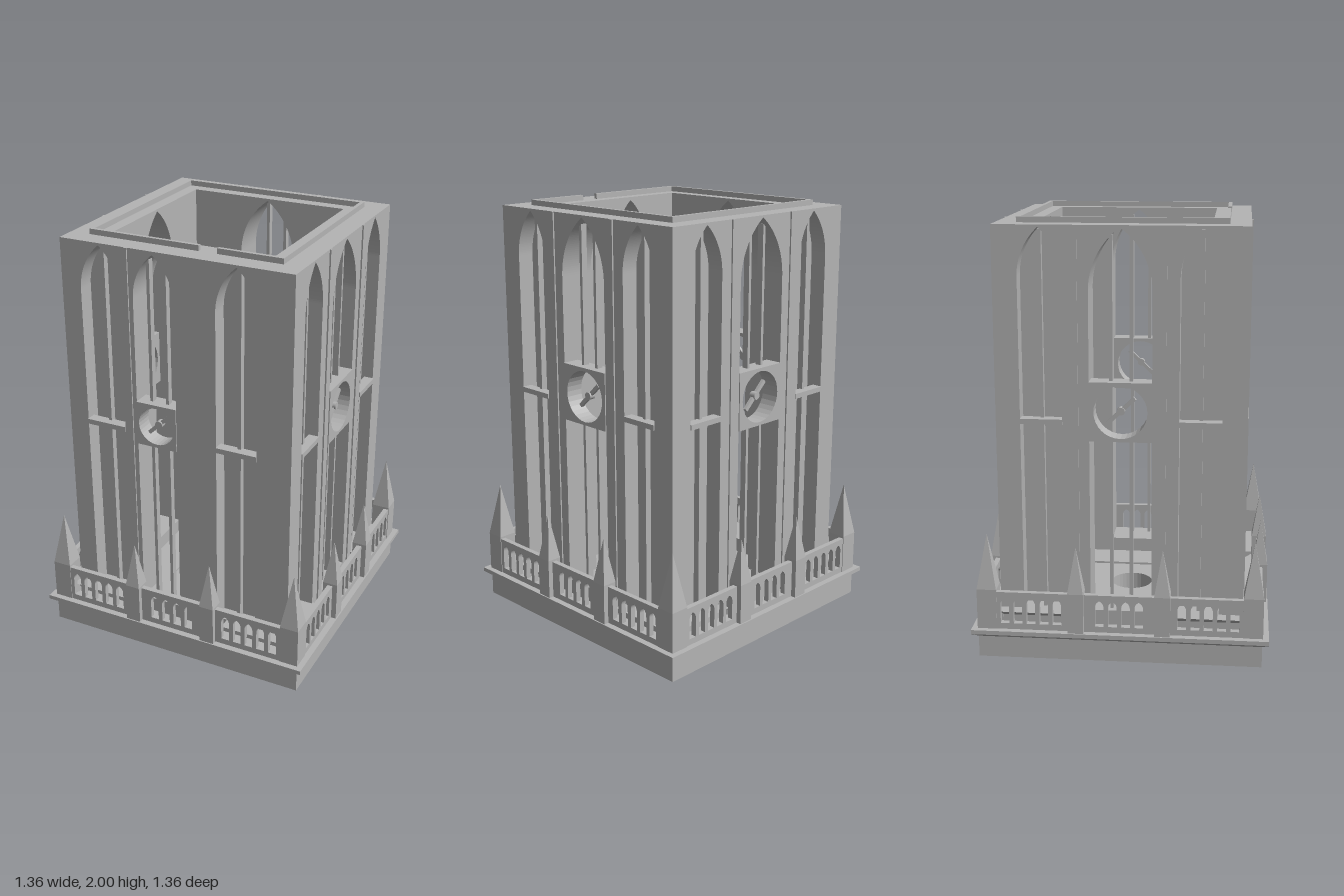
import * as THREE from 'three';

const stone = new THREE.MeshStandardMaterial({ color: 0xb4b4b4 });
stone.name = 'stone';

function add(parent, name, geo, x = 0, y = 0, z = 0) {
  const m = new THREE.Mesh(geo, stone);
  m.name = name;
  m.position.set(x, y, z);
  parent.add(m);
  return m;
}
const box = (w, h, d) => new THREE.BoxGeometry(w, h, d);
function flat(geo) {
  const g = geo.toNonIndexed();
  g.computeVertexNormals();
  return g;
}
function rect(T, x0, y0, x1, y1) {
  const s = new T();
  s.moveTo(x0, y0);
  s.lineTo(x1, y0);
  s.lineTo(x1, y1);
  s.lineTo(x0, y1);
  s.closePath();
  return s;
}
function circle(x, y, r) {
  const p = new THREE.Path();
  p.absarc(x, y, r, 0, Math.PI * 2, true);
  return p;
}
// Pointed two-centred arch opening
function arch({ x, w, y0, spring, apex }) {
  const h = apex - spring, R = (h * h + w * w) / (2 * w), a = Math.acos((R - w) / R);
  const p = new THREE.Path();
  p.moveTo(x - w, y0);
  p.lineTo(x + w, y0);
  p.lineTo(x + w, spring);
  p.absarc(x + w - R, spring, R, 0, a, false);
  p.absarc(x - w + R, spring, R, Math.PI - a, Math.PI, false);
  p.closePath();
  return p;
}
function archTop({ w, spring, apex }, dx) {
  const h = apex - spring, R = (h * h + w * w) / (2 * w);
  return spring + Math.sqrt(R * R - (R - w + Math.abs(dx)) ** 2);
}
function plate(shape, depth, holes = []) {
  shape.holes.push(...holes);
  return new THREE.ExtrudeGeometry(shape, { depth, bevelEnabled: false, curveSegments: 16 });
}
// Horizontal square slab, thickness upward
function slab(half, depth, holes) {
  return plate(rect(THREE.Shape, -half, -half, half, half), depth, holes).rotateX(-Math.PI / 2);
}

function buildBase(root) {
  const g = new THREE.Group();
  g.name = 'base';
  root.add(g);
  // Moulded square rim with a groove underneath
  const rim = [[0.53, 0.01], [0.55, 0.01], [0.55, 0], [0.65, 0], [0.65, 0.1], [0.68, 0.12], [0.68, 0.14], [0.53, 0.14]]
    .map(([r, y]) => new THREE.Vector2(r * Math.SQRT2, y));
  add(g, 'baseRim', flat(new THREE.LatheGeometry(rim, 4, Math.PI / 4)));
  // Bottom plate with a central hole and paired peg holes
  const pegs = [];
  for (const sx of [-1, 1]) for (const sy of [-1, 1]) for (const d of [-1, 1])
    pegs.push(circle(sx * 0.34 + d * 0.018, sy * 0.34 + d * 0.018, 0.016));
  add(g, 'bottomPlate', slab(0.53, 0.03, [circle(0, 0, 0.1), ...pegs]));
  add(g, 'baseCore', slab(0.53, 0.1, [circle(0, 0, 0.1)]), 0, 0.03);
  add(g, 'floorFrame', slab(0.53, 0.01, [rect(THREE.Path, -0.22, -0.22, 0.22, 0.22)]), 0, 0.13);
}

function buildTowerSide(g, k) {
  const front = k === 0, wide = k % 2 === 0;
  const top = 1.975, bottom = 0.14;
  const win = front
    ? { x: -0.1, w: 0.1, y0: 0.21, spring: 1.75, apex: 1.96 }
    : { x: 0, w: 0.14, y0: 0.21, spring: 1.69, apex: 1.965 };
  const niches = (front ? [-0.365, 0.297] : [-0.355, 0.355])
    .map(x => ({ x, w: front ? 0.099 : 0.095, y0: 0.21, spring: 1.75, apex: 1.965 }));

  // Outer skin with niches, inner skin with the window only
  const ow = wide ? 0.56 : 0.48, iw = wide ? 0.48 : 0.39;
  add(g, 'outerWall', plate(rect(THREE.Shape, -ow, bottom, ow, top), 0.08, [win, ...niches].map(arch)), 0, 0, 0.48);
  add(g, 'innerWall', plate(rect(THREE.Shape, -iw, bottom, iw, top), 0.09, [arch(win)]), 0, 0, 0.39);

  // Mullion and crossbar in each blind niche
  for (const n of niches) {
    add(g, 'nicheMullion', box(0.016, 1.745, 0.03), n.x, 1.0825, 0.515);
    add(g, 'nicheCrossbar', box(n.w * 2, 0.024, 0.05), n.x, 1.105, 0.54);
  }

  // Clock panel, hand and hub across the window
  const cy = 1.155, hh = front ? 0.105 : 0.135, r = front ? 0.09 : 0.12;
  add(g, 'clockPanel', plate(rect(THREE.Shape, win.x - win.w, cy - hh, win.x + win.w, cy + hh), 0.085,
    [circle(win.x, cy, r)]), 0, 0, 0.48);
  add(g, 'clockHand', box(front ? 0.15 : 0.17, 0.018, 0.015), win.x, cy, 0.53).rotation.z = 0.76;
  add(g, 'clockHub', new THREE.CylinderGeometry(0.018, 0.018, 0.03, 20).rotateX(Math.PI / 2), win.x, cy, 0.53);

  // Window mullions above and below the clock
  for (const dx of front ? [-0.04, 0.04] : [-0.045, 0.045]) {
    const t = archTop(win, dx) + 0.005;
    for (const [a, b] of [[0.2, cy - hh], [cy + hh, t]])
      add(g, 'windowMullion', box(0.015, b - a, 0.03), win.x + dx, (a + b) / 2, 0.515);
  }

  // Slim wall shafts
  for (const x of front ? [-0.228] : [-0.195, 0.195])
    add(g, 'wallShaft', box(0.015, top - bottom, 0.02), x, (top + bottom) / 2, 0.557);
}

function buildParapetSide(g, k) {
  const w = k % 2 === 0 ? 0.65 : 0.625;
  const xs = [-0.09, -0.03, 0.03, 0.09];
  for (const s of [-1, 1]) for (let i = 0; i < 5; i++) xs.push(s * (0.285 + 0.06 * i));
  const holes = xs.map(x => arch({ x, w: 0.02, y0: 0.168, spring: 0.26, apex: 0.292 }));
  add(g, 'parapet', plate(rect(THREE.Shape, -w, 0.14, w, 0.32), 0.025, holes), 0, 0, 0.625);

  // Undercut corner ledges against the tower
  const wedge = new THREE.Shape([[0.55, 0.165], [0.62, 0.21], [0.55, 0.21]].map(p => new THREE.Vector2(...p)));
  for (const x of [0.58, -0.25])
    add(g, 'cornerLedge', plate(wedge.clone(), 0.33).rotateY(-Math.PI / 2), x, 0, 0);

  // Pinnacles along the side and at one corner
  const pinnacle = (name, x, z, half, y, apex) => {
    add(g, name + 'Pier', box(half * 2, y - 0.14, half * 2), x, (y + 0.14) / 2, z);
    const spire = flat(new THREE.ConeGeometry(half * Math.SQRT2, apex - y, 4, 1, true).rotateY(Math.PI / 4));
    add(g, name + 'Spire', spire, x, (y + apex) / 2, z);
  };
  for (const x of [-0.197, 0.197]) pinnacle('sidePinnacle', x, 0.638, 0.036, 0.33, 0.545);
  pinnacle('cornerPinnacle', 0.608, 0.608, 0.045, 0.33, 0.585);
}

function buildTopRim(root) {
  // Low rim on the tower top with a gap at the front
  const g = new THREE.Group();
  g.name = 'topRim';
  root.add(g);
  const y = 1.9875, h = 0.025, t = 0.018, c = 0.456;
  add(g, 'rimBack', box(0.93, h, t), 0, y, -c);
  for (const s of [-1, 1]) add(g, 'rimSide', box(t, h, 0.894), s * c, y, 0);
  for (const [a, b] of [[-0.465, 0.073], [0.16, 0.465]]) add(g, 'rimFront', box(b - a, h, t), (a + b) / 2, y, c);
}

export function createModel() {
  const root = new THREE.Group();
  root.name = 'bellTower';
  buildBase(root);
  ['front', 'left', 'back', 'right'].forEach((name, k) => {
    const g = new THREE.Group();
    g.name = name + 'Side';
    g.rotation.y = k * Math.PI / 2;
    buildTowerSide(g, k);
    buildParapetSide(g, k);
    root.add(g);
  });
  buildTopRim(root);
  return root;
}
